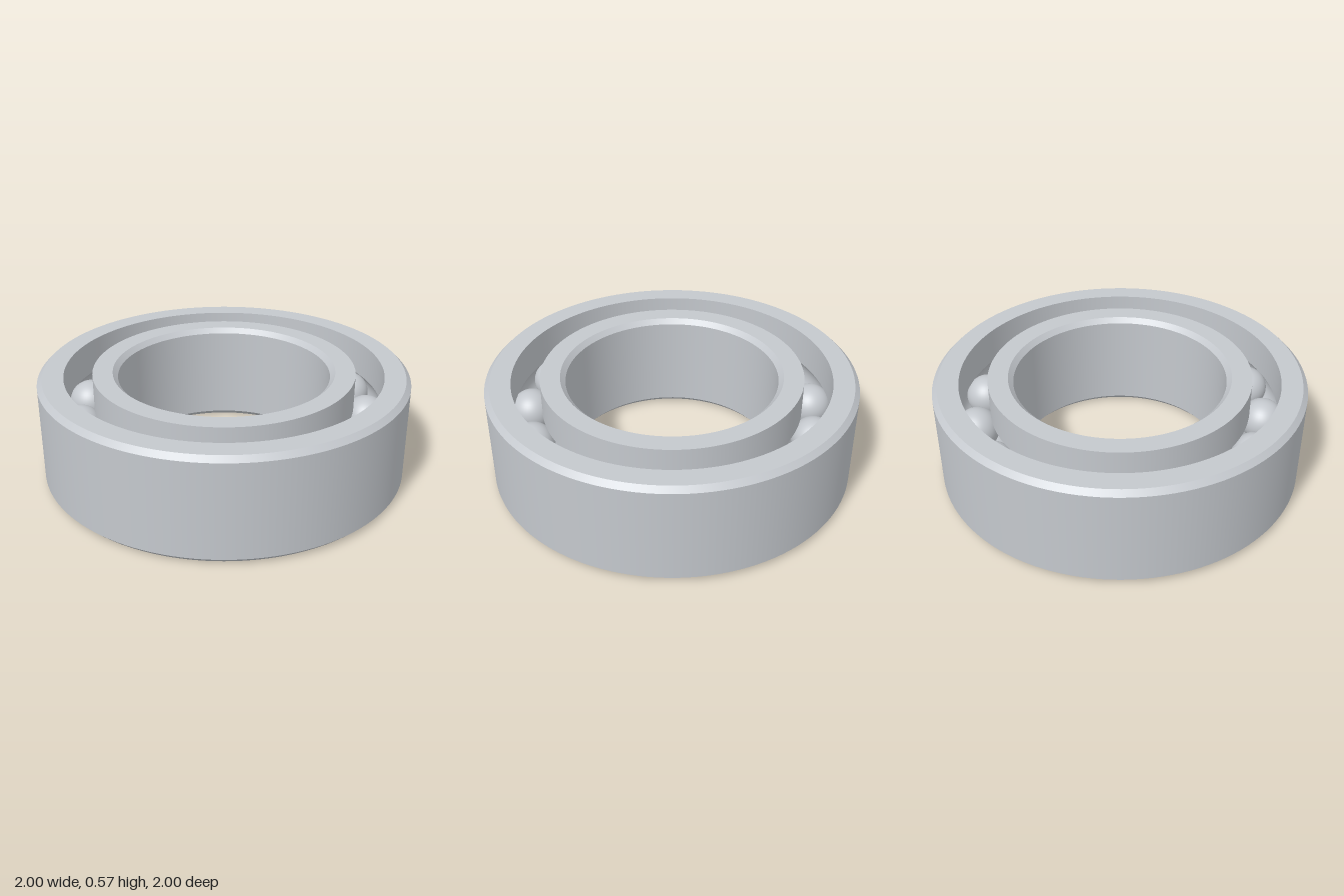
import * as THREE from 'three';
import { mergeGeometries } from 'three/addons/utils/BufferGeometryUtils.js';

const H = 0.573, MID = H / 2;       // height and mid plane
const CHAMFER = 0.027;
const PITCH = 0.785;                // radius of the circle of balls
const BALL_R = 0.118, GROOVE_R = 0.12;
const BALLS = 15, SEGMENTS = 128;

// Revolves each smooth strip on its own, so the edges between strips stay sharp
function revolve(strips) {
  return mergeGeometries(strips.map((s) =>
    new THREE.LatheGeometry(s.map(([r, y]) => new THREE.Vector2(r, y)), SEGMENTS)));
}

// Straight strips through a list of corners
function straight(corners) {
  return corners.slice(1).map((p, i) => [corners[i], p]);
}

// Arc of the ball groove in a raceway wall, from one angle to another
function groove(from, to) {
  const pts = [];
  for (let i = 0; i <= 16; i++) {
    const a = from + (to - from) * i / 16;
    pts.push([PITCH + GROOVE_R * Math.cos(a), MID + GROOVE_R * Math.sin(a)]);
  }
  return pts;
}

// Closed ring section: chamfered wall on one side, grooved raceway on the other
function ringGeometry(wall, race) {
  const sign = Math.sign(wall - race);
  const edge = wall - sign * CHAMFER;
  const half = Math.acos(Math.abs(race - PITCH) / GROOVE_R);
  const mid = sign > 0 ? 0 : Math.PI;
  const arc = groove(mid + sign * half, mid - sign * half);
  // The outer ring is traced upward along its wall, the inner ring is mirrored
  const strips = [
    ...straight([[race, 0], [edge, 0], [wall, CHAMFER], [wall, H - CHAMFER], [edge, H], [race, H]]),
  ];
  const top = arc[0][1] > MID ? arc : arc.slice().reverse();
  strips.push([[race, H], top[0]], top, [top[top.length - 1], [race, 0]]);
  return revolve(sign > 0 ? strips : strips.map((s) => s.slice().reverse()));
}

export function createModel() {
  const model = new THREE.Group();
  model.name = 'ballBearing';
  const steel = new THREE.MeshStandardMaterial({ color: 0xc4c8cd });
  steel.name = 'steel';

  function add(name, geometry, parent = model) {
    const mesh = new THREE.Mesh(geometry, steel);
    mesh.name = name;
    parent.add(mesh);
    return mesh;
  }

  // Outer and inner rings
  add('outerRing', ringGeometry(1, 0.86));
  add('innerRing', ringGeometry(0.573, 0.708));

  // Balls spaced evenly in the raceway
  const balls = new THREE.Group();
  balls.name = 'balls';
  model.add(balls);
  const ballGeometry = new THREE.SphereGeometry(BALL_R, 40, 24);
  for (let i = 0; i < BALLS; i++) {
    const a = i / BALLS * Math.PI * 2;
    add('ball' + (i + 1), ballGeometry, balls)
      .position.set(PITCH * Math.cos(a), MID, PITCH * Math.sin(a));
  }
  return model;
}
